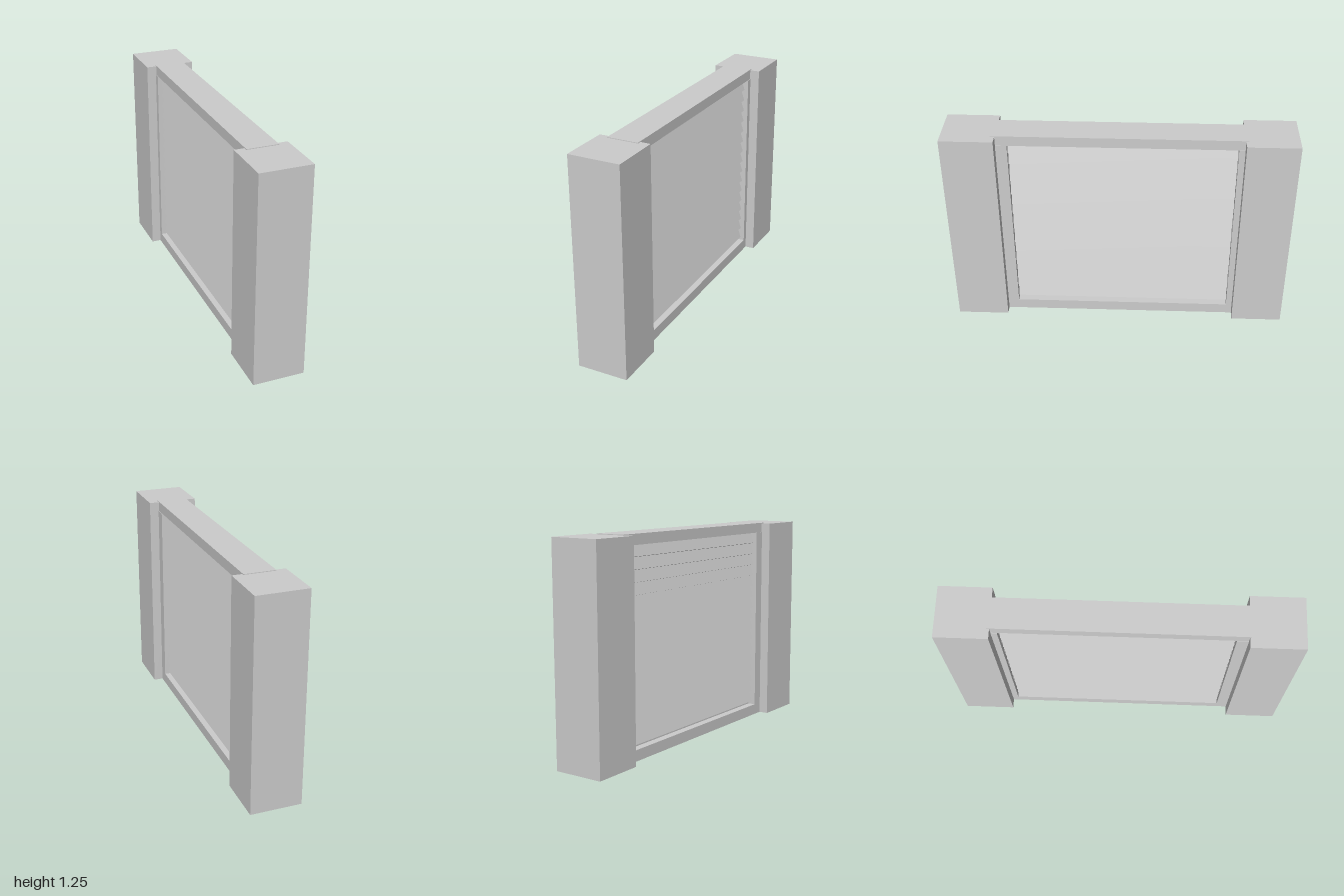
import * as THREE from 'three';

export function createModel() {
  const model = new THREE.Group();
  const material = new THREE.MeshStandardMaterial({ color: 0xcccccc, flatShading: true });

  // Box given by its half depth in x and its extents in y and z
  function block(name, halfX, y0, y1, z0, z1) {
    const mesh = new THREE.Mesh(new THREE.BoxGeometry(halfX * 2, y1 - y0, z1 - z0), material);
    mesh.position.set(0, (y0 + y1) / 2, (z0 + z1) / 2);
    mesh.name = name;
    model.add(mesh);
  }

  // Opening of the frame
  const bottom = 0.065, top = 1.19, back = -0.665, front = 0.63;

  // End pillars
  block('frontPillar', 0.15, 0, 1.246, 0.695, 1);
  block('backPillar', 0.15, 0, 1.246, -1, -0.7);

  // Frame around the louvres
  block('topRail', 0.091, top, 1.25, -0.715, 0.72);
  block('bottomRail', 0.094, 0, bottom, -0.71, 0.71);
  block('frontStile', 0.094, bottom, top, front, 0.71);
  block('backStile', 0.094, bottom, top, -0.71, back);

  // Louvre panel: overlapping slats as a sawtooth on both sides
  const count = 16, first = 0.083, pitch = 0.0695;
  const inner = 0.048, outer = 0.07;
  const side = [[inner, bottom]];
  for (let i = 0; i < count; i++) {
    const y = first + i * pitch;
    side.push([inner, y - 0.005], [outer, y]);
  }
  side.push([inner, top]);
  const outline = [...side, ...side.slice().reverse().map(([x, y]) => [-x, y])];
  const shape = new THREE.Shape(outline.map(([x, y]) => new THREE.Vector2(x, y)));
  const slats = new THREE.ExtrudeGeometry(shape, { depth: front - back, bevelEnabled: false });
  slats.translate(0, 0, back);
  const louvres = new THREE.Mesh(slats, material);
  louvres.name = 'louvreSlats';
  model.add(louvres);

  return model;
}
